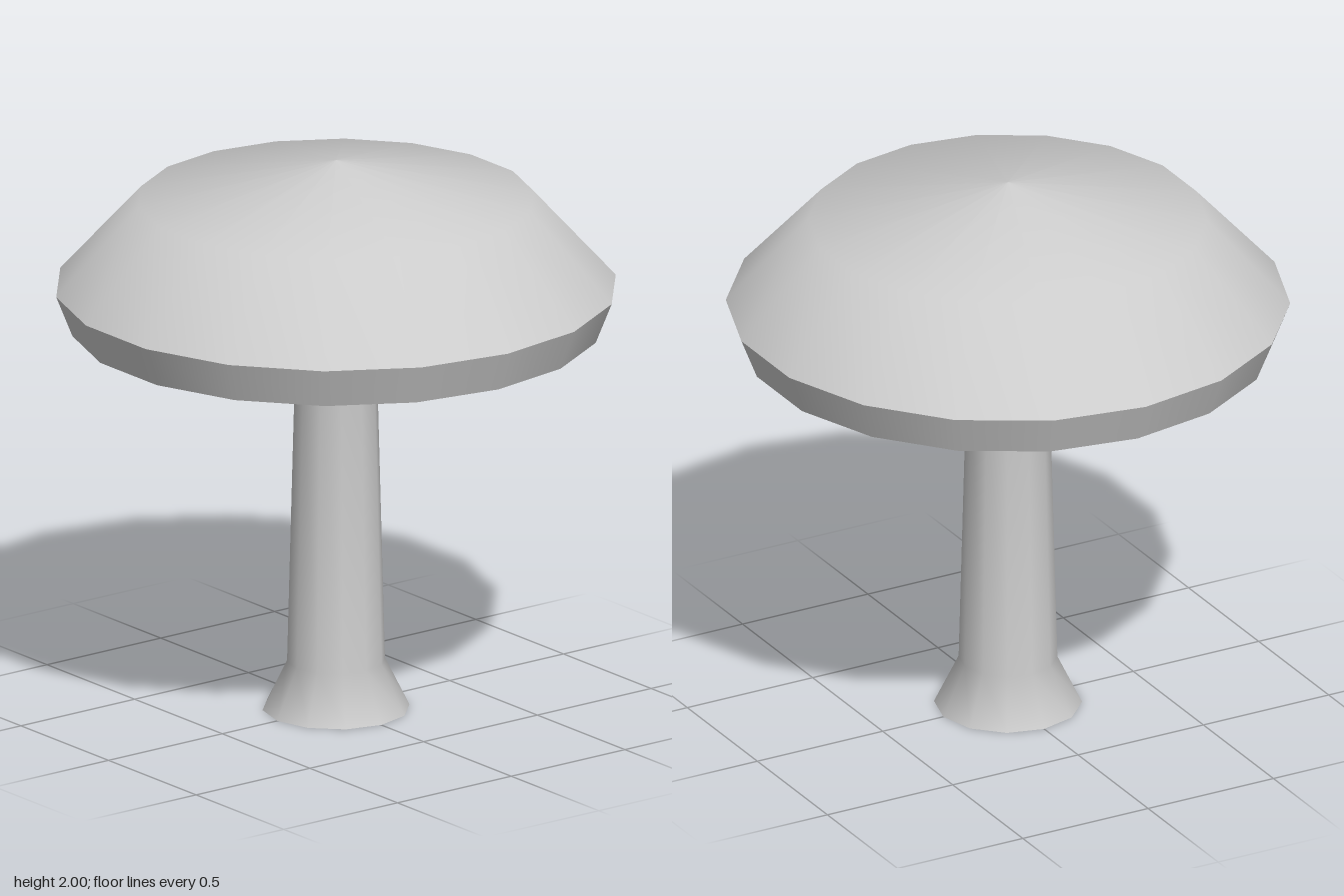
import * as THREE from 'three';

export function createModel() {
  const model = new THREE.Group();
  model.name = 'mushroom';
  const grey = new THREE.MeshStandardMaterial({ color: 0xcccccc });
  grey.name = 'plain grey';

  // Turns a [radius, height] profile, listed so that its faces point outward
  function turned(name, profile, sides) {
    const points = profile.map(([r, y]) => new THREE.Vector2(r, y));
    const geometry = new THREE.LatheGeometry(points, sides, Math.PI / 2);
    const mesh = new THREE.Mesh(geometry, grey);
    mesh.name = name;
    return mesh;
  }

  // Stem: flared foot, slight taper, flared neck
  const stem = new THREE.Group();
  stem.name = 'stem';
  stem.add(
    turned('stemBase', [[0, 0], [0.258, 0]], 12),
    turned('stemSide', [[0.258, 0], [0.172, 0.175], [0.146, 1.17], [0.187, 1.34]], 12),
  );

  // Cap: sharp edges where underside, rim and dome meet
  const cap = new THREE.Group();
  cap.name = 'cap';
  cap.add(
    turned('capUnderside', [[0, 1.335], [0.185, 1.335], [0.926, 1.395]], 18),
    turned('capRim', [[0.926, 1.395], [0.983, 1.54]], 18),
    turned('capDome', [[0.983, 1.54], [0.695, 1.857], [0, 2]], 18),
  );

  model.add(stem, cap);
  return model;
}
